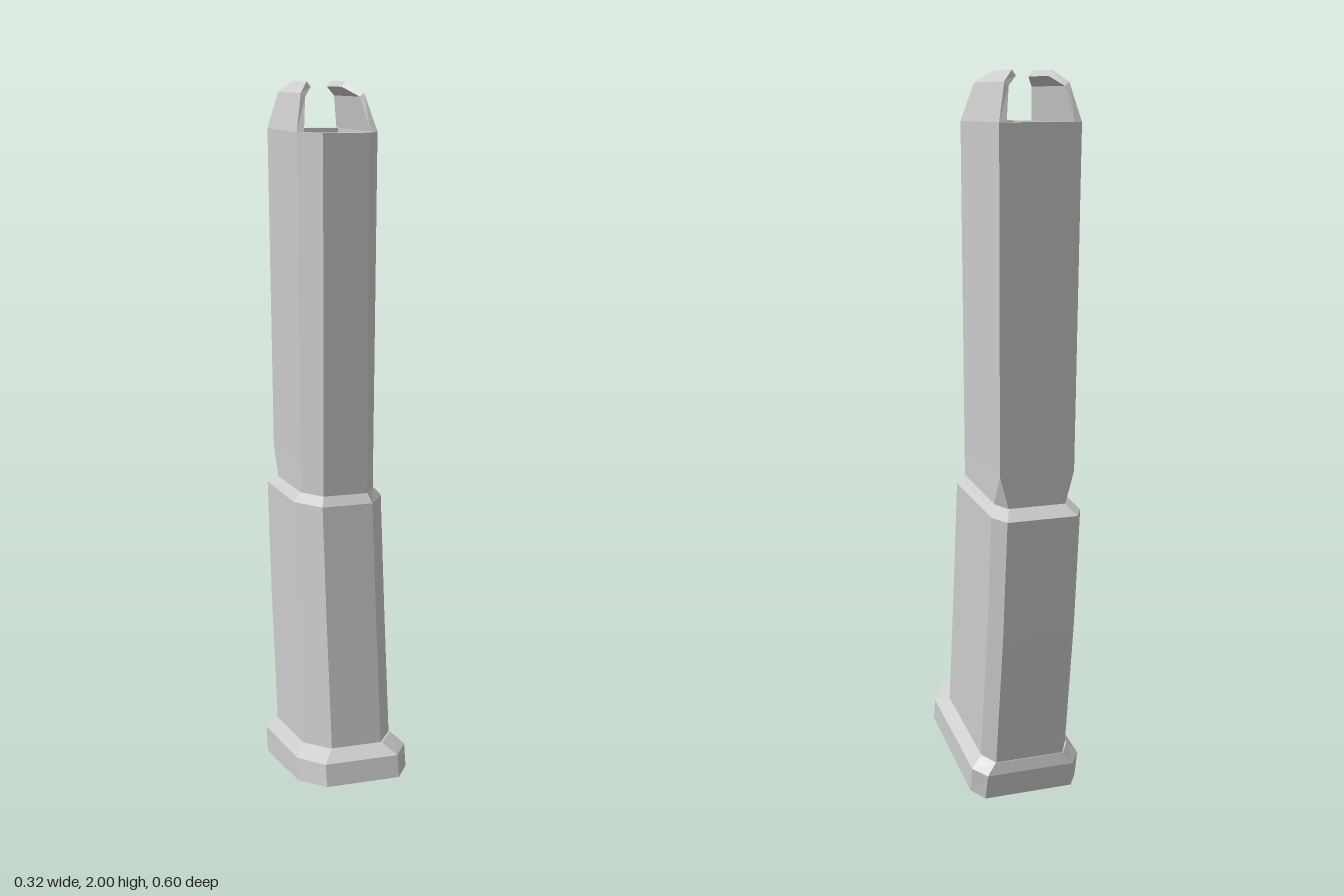
import * as THREE from 'three';

const material = new THREE.MeshStandardMaterial({ color: 0xcccccc, flatShading: true, side: THREE.DoubleSide });

// Skin a stack of rings (arrays of [x, y, z], counter-clockwise from above)
function loft(name, rings, capStart, capEnd) {
  const n = rings[0].length;
  const index = [];
  for (let r = 0; r < rings.length - 1; r++) {
    for (let i = 0; i < n; i++) {
      const a = r * n + i, b = r * n + (i + 1) % n;
      index.push(a, b, b + n, a, b + n, a + n);
    }
  }
  const last = (rings.length - 1) * n;
  for (let i = 1; i < n - 1; i++) {
    if (capStart) index.push(0, i + 1, i);
    if (capEnd) index.push(last, last + i, last + i + 1);
  }
  const indexed = new THREE.BufferGeometry();
  indexed.setAttribute('position', new THREE.Float32BufferAttribute(rings.flat(2), 3));
  indexed.setIndex(index);
  const geometry = indexed.toNonIndexed();
  geometry.computeVertexNormals();
  const mesh = new THREE.Mesh(geometry, material);
  mesh.name = name;
  return mesh;
}

// Chamfered outline on a tilted plane: front and back are [z, y],
// w is the half width, wf/wb the half widths of the front and back flats,
// cf/cb the depths of the front and back chamfers
function outline(front, back, w, wf, cf, wb, cb) {
  const [f, yf] = front, [b, yb] = back;
  const point = (x, z) => [x, yb + (yf - yb) * (z - b) / (f - b), z];
  const half = [[wf, f], [w, f - cf], [w, b + cb], [wb, b]];
  return [
    ...half.map(([x, z]) => point(x, z)),
    ...half.reverse().map(([x, z]) => point(-x, z)),
  ];
}

// Feed lip: leaning, folded wall above one side of the tube
function feedLip(name, side) {
  const levels = [ // outer x, inner x, outer y, inner y, front z, back z
    [0.112, 0.092, 1.87, 1.87, 0.045, -0.27],
    [0.088, 0.076, 1.97, 1.96, 0.0, -0.24],
    [0.055, 0.044, 2.0, 1.985, -0.06, -0.205],
  ];
  const rings = levels.map(([xo, xi, yo, yi, zf, zb]) => {
    const ring = [[side * xo, yo, zf], [side * xo, yo, zb], [side * xi, yi, zb], [side * xi, yi, zf]];
    return side > 0 ? ring : ring.reverse();
  });
  return loft(name, rings, false, true);
}

export function createModel() {
  const model = new THREE.Group();
  model.name = 'magazine';

  // Sloping floor plate with a bevelled top edge
  model.add(loft('basePlate', [
    outline([0.3, 0.105], [-0.2, 0], 0.16, 0.105, 0.1, 0.13, 0.045),
    outline([0.285, 0.165], [-0.217, 0.075], 0.16, 0.105, 0.1, 0.128, 0.045),
    outline([0.24, 0.187], [-0.208, 0.108], 0.13, 0.075, 0.095, 0.102, 0.045),
  ], true, true));

  // Curved lower body with a shoulder at its top
  model.add(loft('lowerBody', [
    outline([0.235, 0.18], [-0.205, 0.1], 0.128, 0.072, 0.095, 0.1, 0.05),
    outline([0.187, 0.52], [-0.264, 0.49], 0.128, 0.072, 0.095, 0.1, 0.05),
    outline([0.145, 0.865], [-0.3, 0.835], 0.128, 0.072, 0.095, 0.1, 0.05),
    outline([0.125, 0.89], [-0.256, 0.86], 0.106, 0.063, 0.08, 0.08, 0.05),
  ], false, true));

  // Hollow upper tube: outside, rim, inside and inner floor
  model.add(loft('upperTube', [
    outline([0.125, 0.885], [-0.256, 0.855], 0.106, 0.063, 0.08, 0.08, 0.05),
    outline([0.125, 0.95], [-0.257, 0.95], 0.106, 0.063, 0.08, 0.106, 0),
    outline([0.125, 1.87], [-0.27, 1.87], 0.112, 0.063, 0.08, 0.112, 0),
    outline([0.09, 1.87], [-0.245, 1.87], 0.09, 0.055, 0.06, 0.09, 0),
    outline([0.08, 0.92], [-0.235, 0.92], 0.084, 0.053, 0.055, 0.084, 0),
  ], false, true));

  model.add(feedLip('leftFeedLip', 1), feedLip('rightFeedLip', -1));
  return model;
}
